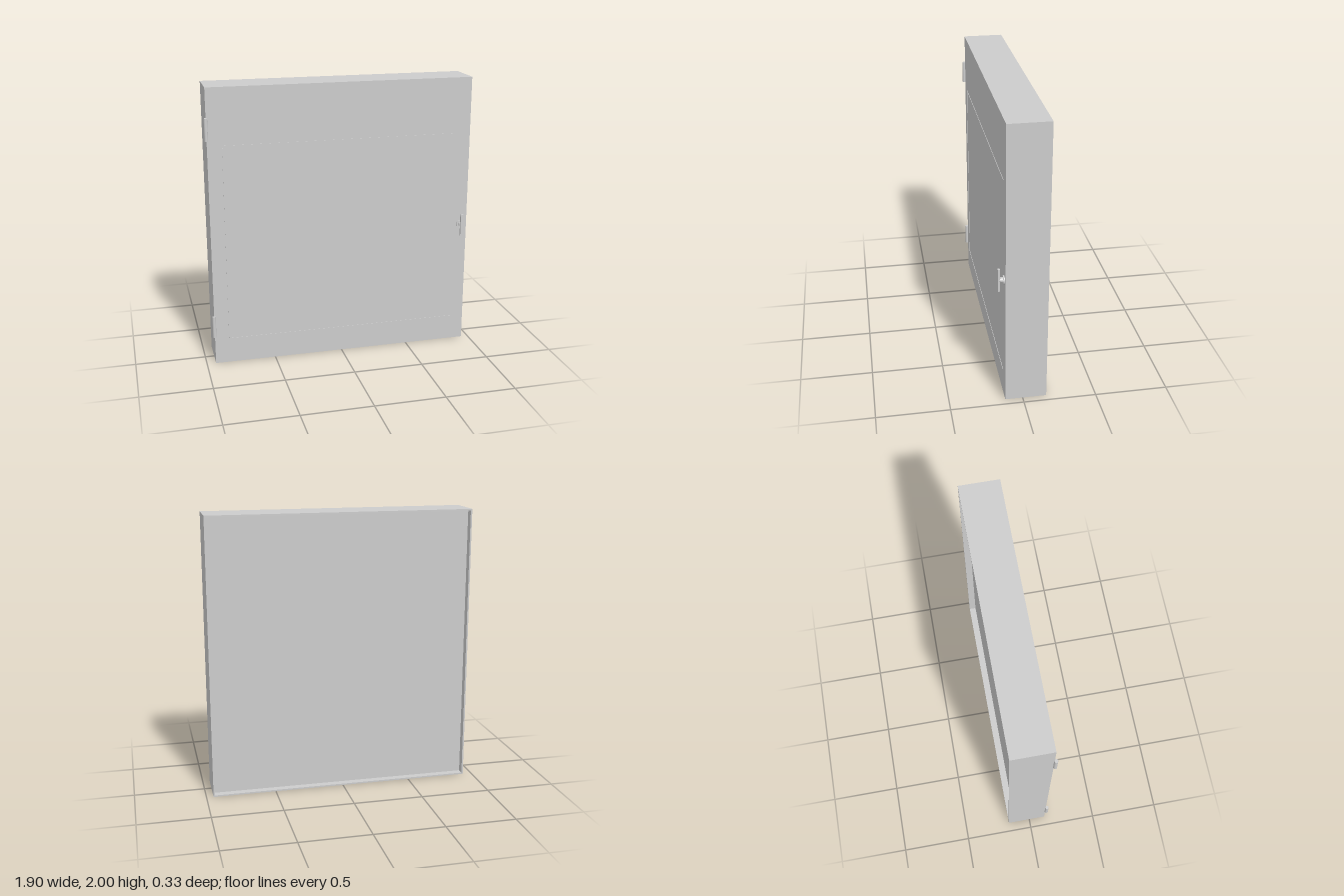
import * as THREE from 'three';

export function createModel() {
  const root = new THREE.Group();
  const grey = new THREE.MeshStandardMaterial({ color: 0xcccccc });
  grey.name = 'grey metal';

  function add(name, geometry, x, y, z, parent = root) {
    const mesh = new THREE.Mesh(geometry, grey);
    mesh.name = name;
    mesh.position.set(x, y, z);
    parent.add(mesh);
    return mesh;
  }
  const box = (w, h, d) => new THREE.BoxGeometry(w, h, d);
  const rod = (r, h) => new THREE.CylinderGeometry(r, r, h, 32);

  const left = -0.935, right = 0.95, back = -0.164, front = 0.12;
  const width = right - left, midX = (left + right) / 2;
  const wall = 0.011, recess = 0.05, doorDepth = 0.018, panelDepth = 0.012;

  // Four thin walls round the hollow cabinet
  const frame = new THREE.Shape();
  frame.moveTo(left, 0).lineTo(right, 0).lineTo(right, 2).lineTo(left, 2).closePath();
  const opening = new THREE.Path();
  opening.moveTo(left + wall, wall).lineTo(left + wall, 2 - wall)
    .lineTo(right - wall, 2 - wall).lineTo(right - wall, wall).closePath();
  frame.holes.push(opening);
  add('cabinetWalls', new THREE.ExtrudeGeometry(frame, {
    depth: front - doorDepth - back, bevelEnabled: false,
  }), 0, 0, back);

  // Front door and recessed back panel
  add('frontDoor', box(width, 2, doorDepth), midX, 1, front - doorDepth / 2);
  add('backPanel', box(width - 2 * wall, 2 - 2 * wall, panelDepth), midX, 1, back + recess + panelDepth / 2);

  // Slim raised lips on the door
  const lip = 0.003;
  for (const [name, y] of [['topLip', 1.6], ['bottomLip', 0.185]]) {
    add(name, box(1.69, lip, lip), 0.008, y, front + lip / 2);
  }
  add('sideLip', box(0.008, 1.4, lip), -0.83, 0.885, front + lip / 2);

  // Hinge barrels on the right edge
  for (const y of [0.287, 1.717]) add('hinge', rod(0.0125, 0.157), -0.9375, y, front + 0.0085);

  // Latch: stepped round base, stem and vertical handle bar
  const latch = new THREE.Group();
  latch.name = 'latch';
  latch.position.set(0.9, 0.915, front);
  root.add(latch);
  const steps = [['latchDisc', 0.03, 0, 0.01], ['latchCollar', 0.018, 0.01, 0.027], ['latchStem', 0.012, 0.027, 0.034]];
  for (const [name, r, from, to] of steps) {
    add(name, rod(r, to - from), 0, 0, (from + to) / 2, latch).rotation.x = Math.PI / 2;
  }
  add('latchHandle', box(0.018, 0.163, 0.014), 0, 0, 0.037, latch);

  return root;
}
